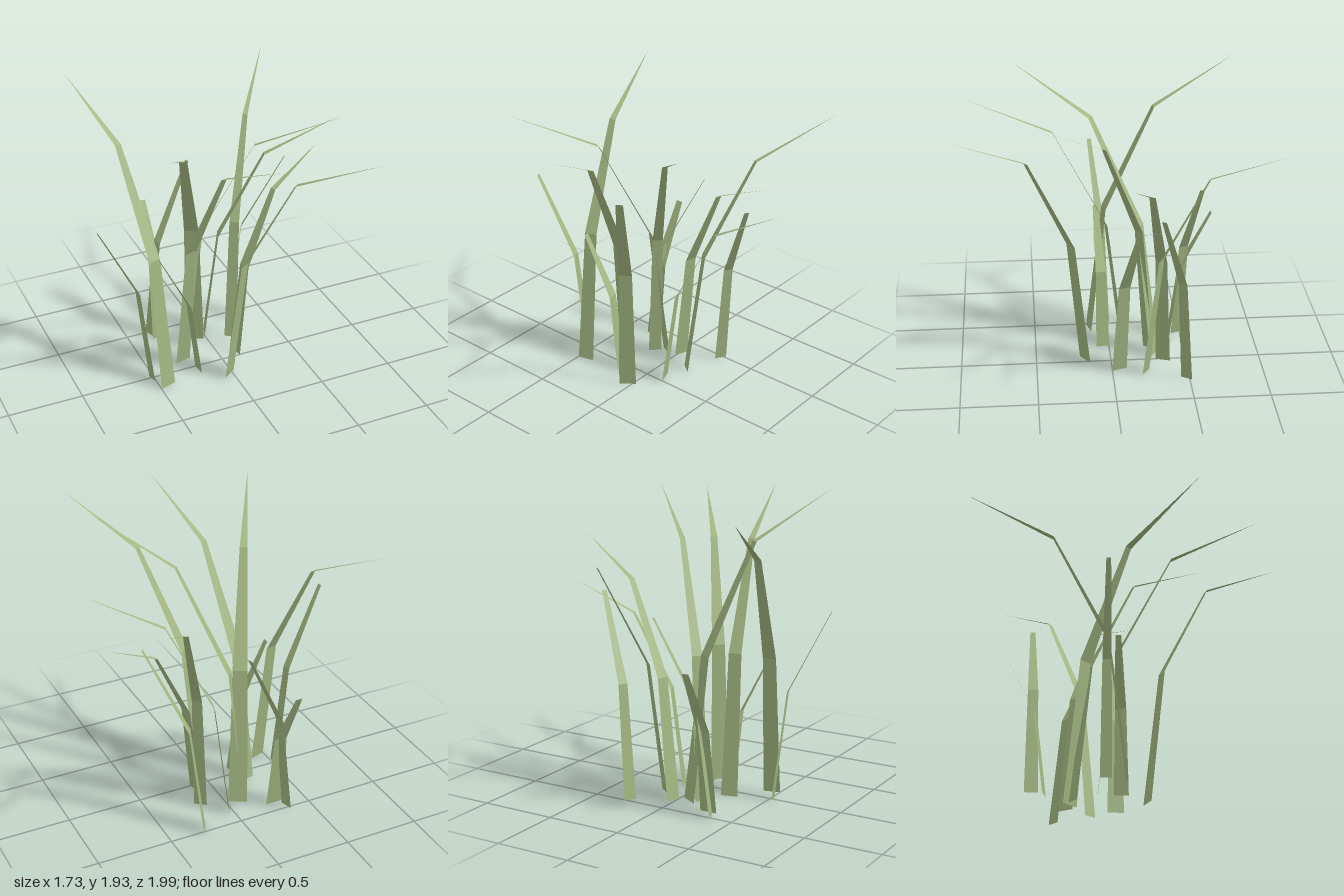
import * as THREE from 'three';

// Shared blade outline for a height of 1: lean, height and relative width
// at the root, lower bend, upper bend and tip
const OUTLINE = [
  { lean: 0, y: 0, width: 1 },
  { lean: 0.06, y: 0.484, width: 0.77 },
  { lean: 0.245, y: 0.847, width: 0.4 },
  { lean: 0.545, y: 1, width: 0 },
];

// Root x, root z, lean heading in degrees (x towards z), full height, root width
const POINTED_BLADES = [
  [-0.445, 0.125, 254.4, 1.89, 0.11],
  [0.16, -0.22, -53.4, 1.775, 0.085],
  [-0.075, -0.3, 119.7, 1.93, 0.125],
  [-0.15, -0.265, 43.6, 1.91, 0.088],
  [-0.025, 0.173, 54.2, 1.845, 0.112],
  [-0.25, -0.092, 77.5, 1.893, 0.11],
  [0.015, -0.347, 18.1, 1.63, 0.1],
  [0.115, -0.048, -17.9, 1.352, 0.104],
];

// Blades that end bluntly at the upper bend
const BLUNT_BLADES = [
  [-0.285, -0.413, -90.6, 1.12, 0.115],
  [-0.342, -0.48, -16.8, 1.464, 0.084],
  [0.256, -0.48, 32.6, 1.535, 0.08],
  [-0.515, 0.01, 167.4, 1.482, 0.072],
  [-0.193, 0.042, 173.6, 1.11, 0.09],
];

// Flat bent strip leaning along +x, its width along z
function bladeGeometry(height, width, outline) {
  const edge = (p, side) =>
    new THREE.Vector3(p.lean * height, p.y * height, side * p.width * width / 2);
  const corners = [];
  for (let i = 0; i < outline.length - 1; i++) {
    const [low, high] = [outline[i], outline[i + 1]];
    const a = edge(low, -1), b = edge(low, 1), c = edge(high, 1), d = edge(high, -1);
    corners.push(a, b, c);
    if (high.width > 0) corners.push(a, c, d);
  }
  const geometry = new THREE.BufferGeometry().setFromPoints(corners);
  geometry.computeVertexNormals();
  return geometry;
}

export function createModel() {
  const model = new THREE.Group();
  model.name = 'grassTuft';
  const grassGreen = new THREE.MeshStandardMaterial({
    name: 'grassGreen', color: 0xa2b681, flatShading: true, side: THREE.DoubleSide,
  });

  const addBlades = (name, blades, outline) => {
    for (const [x, z, heading, height, width] of blades) {
      const blade = new THREE.Mesh(bladeGeometry(height, width, outline), grassGreen);
      blade.name = name;
      blade.position.set(x, 0, z);
      blade.rotation.y = -THREE.MathUtils.degToRad(heading);
      model.add(blade);
    }
  };
  addBlades('pointedBlade', POINTED_BLADES, OUTLINE);
  addBlades('bluntBlade', BLUNT_BLADES, OUTLINE.slice(0, 3));
  return model;
}
